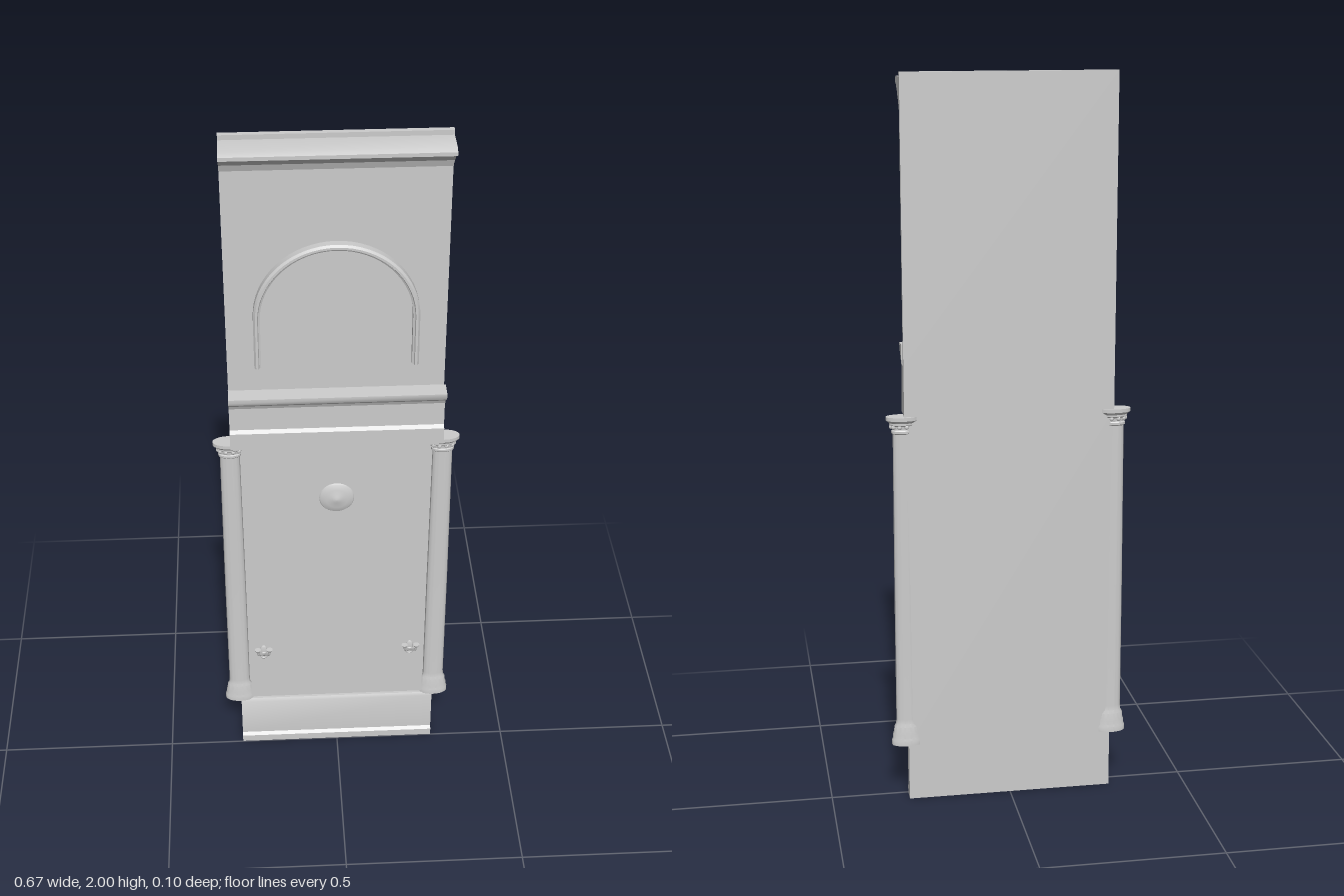
import * as THREE from 'three';
import { toCreasedNormals } from 'three/addons/utils/BufferGeometryUtils.js';

const W = 0.57; // width of the wall
const BACK = -0.043;

export function createModel() {
  const model = new THREE.Group();
  const stone = new THREE.MeshStandardMaterial({ color: 0xcccccc });
  stone.name = 'pale grey';

  const add = (name, geo, parent = model) => {
    const mesh = new THREE.Mesh(geo, stone);
    mesh.name = name;
    parent.add(mesh);
    return mesh;
  };
  // Box given by its limits
  const slab = (name, w, y0, y1, z0, z1) =>
    add(name, new THREE.BoxGeometry(w, y1 - y0, z1 - z0))
      .position.set(0, (y0 + y1) / 2, (z0 + z1) / 2);
  // Moulding: a (z, y) profile run along x
  const moulding = (name, pts, w = W) => {
    const shape = new THREE.Shape(pts.map(([z, y]) => new THREE.Vector2(z, y)));
    const geo = new THREE.ExtrudeGeometry(shape, { depth: w, bevelEnabled: false });
    geo.rotateY(-Math.PI / 2).translate(w / 2, 0, 0);
    return add(name, toCreasedNormals(geo, 0.5));
  };

  // Plinth with a small foot
  moulding('plinth', [
    [BACK, 0], [-0.001, 0], [-0.001, 0.022], [-0.009, 0.03],
    [-0.009, 0.155], [-0.014, 0.165], [BACK, 0.165],
  ]);

  // Lower wall: thin backing and a raised field between the columns
  slab('lowerWall', W, 0.165, 1.105, BACK, -0.032);
  slab('raisedPanel', 0.508, 0.172, 1.105, -0.034, -0.014);

  // Frieze with a projecting lower band
  moulding('frieze', [
    [BACK, 1.105], [0.015, 1.105], [0.015, 1.155], [0.006, 1.163],
    [0.006, 1.24], [BACK, 1.24],
  ]);
  moulding('shelfMoulding', [
    [0.006, 1.235], [0.012, 1.235], [0.017, 1.246], [0.027, 1.253], [0.034, 1.263],
    [0.045, 1.268], [0.05, 1.278], [0.05, 1.288], [0.006, 1.29],
  ]);

  // Upper wall and its cornice
  slab('upperWall', W, 1.24, 2, BACK, -0.029);
  moulding('cornice', [
    [-0.03, 1.905], [-0.024, 1.907], [-0.02, 1.917], [-0.013, 1.92], [-0.009, 1.93],
    [0.003, 1.938], [0.012, 1.95], [0.018, 1.953], [0.035, 1.966], [0.05, 1.97],
    [0.05, 1.98], [0.035, 1.987], [-0.03, 1.987],
  ]);

  // Arched moulding: a rounded section swept over two legs and a half circle
  const path = [[-1, 1.347], [-1, 1.42]];
  for (let i = 0; i <= 32; i++) {
    const a = Math.PI * (1 - i / 32);
    path.push([Math.cos(a), 1.492 + 0.205 * Math.sin(a), a]);
  }
  path.push([1, 1.42], [1, 1.347]);
  const section = [[-0.009, -0.029], [-0.009, -0.011], [-0.004, -0.008], [-0.002, -0.003],
    [0.004, -0.003], [0.009, -0.009], [0.009, -0.029]];
  const n = section.length, verts = [], faces = [];
  path.forEach(([c, y, a]) => {
    const angle = a ?? (c < 0 ? Math.PI : 0);
    section.forEach(([r, z]) =>
      verts.push(0.205 * c + r * Math.cos(angle), y + r * Math.sin(angle), z));
  });
  for (let i = 0; i < path.length - 1; i++) {
    for (let j = 0; j < n; j++) {
      const a = i * n + j, b = i * n + (j + 1) % n;
      faces.push(a, b, a + n, b, b + n, a + n);
    }
  }
  // End caps
  const last = (path.length - 1) * n;
  for (let j = 1; j < n - 1; j++) faces.push(0, j + 1, j, last, last + j, last + j + 1);
  const arch = new THREE.BufferGeometry();
  arch.setAttribute('position', new THREE.Float32BufferAttribute(verts, 3));
  arch.setIndex(faces);
  const archMesh = add('archMoulding', toCreasedNormals(arch, 0.5));
  archMesh.material = stone;
  stone.side = THREE.DoubleSide;

  // Flattened columns with a flared base and a stepped capital
  const columnProfile = [
    [0, 0.163], [0.043, 0.163], [0.043, 0.178], [0.04, 0.184], [0.04, 0.195], [0.037, 0.203],
    [0.036, 0.217], [0.031, 0.226], [0.03, 0.24], [0.0295, 0.6], [0.027, 1.055],
    [0.031, 1.058], [0.031, 1.064], [0.028, 1.067], [0.03, 1.077], [0.036, 1.081],
    [0.036, 1.086], [0.042, 1.091], [0.045, 1.093], [0.045, 1.103], [0, 1.103],
  ].map(([r, y]) => new THREE.Vector2(r, y));
  const columnGeo = toCreasedNormals(new THREE.LatheGeometry(columnProfile, 40), 0.5);

  for (const side of [-1, 1]) {
    const name = side > 0 ? 'left' : 'right';
    const column = add(name + 'Column', columnGeo);
    column.scale.z = 0.53;
    column.position.set(side * 0.288, 0, -0.029);

    // Leaf bumps around the capital
    for (let i = 0; i < 10; i++) {
      const a = (i / 10) * Math.PI * 2;
      const leaf = add('capitalLeaf', new THREE.SphereGeometry(0.006, 8, 6), column);
      leaf.position.set(0.031 * Math.cos(a), 1.075, 0.031 * Math.sin(a));
    }

    // Double hook: back plate, lower drop and two arms with knobs
    const hook = new THREE.Group();
    hook.name = name + 'Hook';
    hook.position.set(side * 0.214, 0.355, -0.014);
    model.add(hook);
    const plate = add('hookPlate', new THREE.SphereGeometry(0.013, 16, 10), hook);
    plate.scale.set(0.8, 1.6, 0.3);
    const drop = add('hookDrop', new THREE.TorusGeometry(0.009, 0.003, 8, 16), hook);
    drop.position.set(0, -0.014, 0.004);
    for (const s of [-1, 1]) {
      const curve = new THREE.CatmullRomCurve3([
        new THREE.Vector3(0, -0.012, 0.002), new THREE.Vector3(s * 0.008, -0.002, 0.014),
        new THREE.Vector3(s * 0.015, 0.008, 0.026), new THREE.Vector3(s * 0.017, 0.024, 0.03),
      ]);
      add('hookArm', new THREE.TubeGeometry(curve, 14, 0.0035, 8), hook);
      const knob = add('hookKnob', new THREE.CylinderGeometry(0.009, 0.005, 0.009, 14), hook);
      knob.position.set(s * 0.017, 0.026, 0.03);
    }
  }

  // Round boss in the upper part of the panel
  const boss = add('boss', new THREE.LatheGeometry([
    [0.048, 0], [0.045, 0.004], [0.03, 0.008], [0.012, 0.011], [0.01, 0.013], [0, 0.014],
  ].map(([r, y]) => new THREE.Vector2(r, y)), 32));
  boss.rotation.x = Math.PI / 2;
  boss.position.set(0, 0.913, -0.014);

  return model;
}
